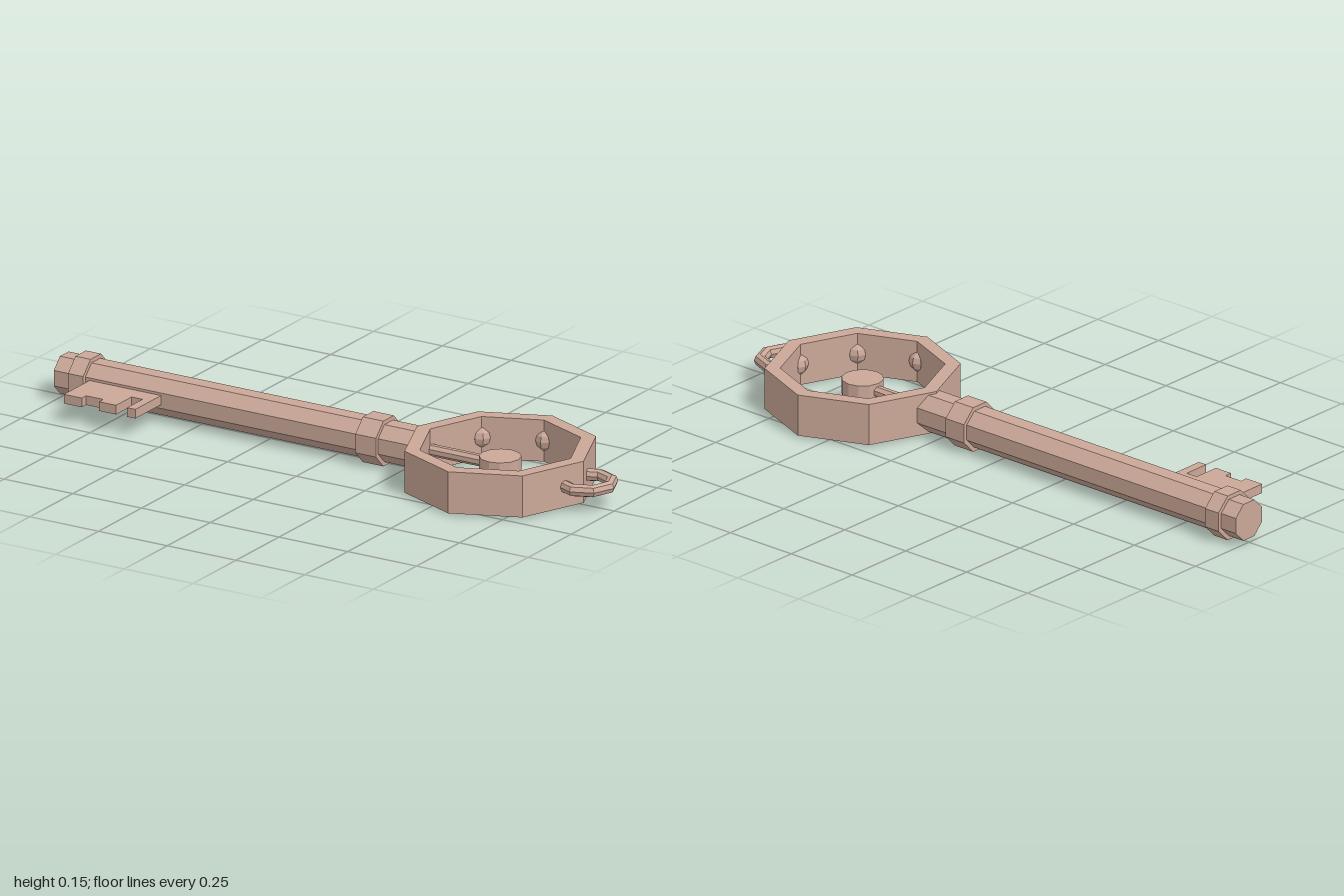
import * as THREE from 'three';

const AXIS_Y = 0.074; // height of the key's centre plane
const RING_X = 0.586; // centre of the octagonal bow

export function createModel() {
  const group = new THREE.Group();
  group.name = 'key';
  const metal = new THREE.MeshStandardMaterial({ color: 0xcba898, flatShading: true });
  metal.name = 'rose metal';

  const add = (name, geometry, x = 0, y = 0, z = 0) => {
    const mesh = new THREE.Mesh(geometry, metal);
    mesh.name = name;
    mesh.position.set(x, y, z);
    group.add(mesh);
    return mesh;
  };

  // Octagonal prism along x, flat face up; apothem is the half height
  const bar = (name, x0, x1, apothem) => {
    const r = apothem / Math.cos(Math.PI / 8);
    const g = new THREE.CylinderGeometry(r, r, x1 - x0, 8, 1, false, Math.PI / 8);
    g.rotateZ(Math.PI / 2);
    return add(name, g, (x0 + x1) / 2, AXIS_Y, 0);
  };

  // Flat slab from an x/z outline, hanging down from its top height
  const slab = (name, shape, top, depth, x = 0) => {
    const g = new THREE.ExtrudeGeometry(shape, { depth, bevelEnabled: false });
    g.rotateX(Math.PI / 2);
    return add(name, g, x, top, 0);
  };

  const octagon = (r) => Array.from({ length: 8 }, (_, i) =>
    new THREE.Vector2(r * Math.cos(i * Math.PI / 4), r * Math.sin(i * Math.PI / 4)));

  // Shaft and its two collars
  bar('shaft', -1, 0.32, 0.061);
  bar('tipCollar', -0.94, -0.885, 0.074);
  bar('bowCollar', 0.105, 0.18, 0.074);

  // Toothed bit
  const teeth = [
    [-0.87, 0.04], [-0.61, 0.04], [-0.61, 0.21], [-0.64, 0.21], [-0.64, 0.12], [-0.68, 0.12],
    [-0.68, 0.21], [-0.742, 0.21], [-0.742, 0.185], [-0.805, 0.185], [-0.805, 0.21], [-0.87, 0.21],
  ].map(([x, z]) => new THREE.Vector2(x, z));
  slab('bit', new THREE.Shape(teeth), 0.091, 0.03);

  // Octagonal bow
  const ring = new THREE.Shape(octagon(0.303));
  ring.holes.push(new THREE.Path(octagon(0.255).reverse()));
  slab('bow', ring, 0.142, 0.136, RING_X);

  // Small studs in the bow's inner corners
  for (let i = 0; i < 8; i++) {
    if (i === 4) continue; // the shaft enters here
    const a = i * Math.PI / 4;
    const stud = add('stud', new THREE.SphereGeometry(0.035, 8, 6),
      RING_X + 0.268 * Math.cos(a), AXIS_Y, 0.268 * Math.sin(a));
    stud.rotation.y = -a;
  }

  // Rod carrying the centre disc
  const rod = new THREE.CylinderGeometry(0.019, 0.019, 0.27, 8, 1, false, Math.PI / 8);
  rod.rotateZ(Math.PI / 2);
  add('rod', rod, 0.435, AXIS_Y, 0);
  add('centreDisc', new THREE.CylinderGeometry(0.066, 0.066, 0.056, 12), RING_X, AXIS_Y, 0);

  // Open hanging loop, its ends buried in the bow
  const loop = new THREE.TorusGeometry(0.08, 0.02, 8, 6, Math.PI * 1.5);
  loop.rotateZ(-Math.PI * 0.75);
  loop.rotateX(Math.PI / 2);
  add('hangingLoop', loop, 0.9, AXIS_Y, 0);

  return group;
}
